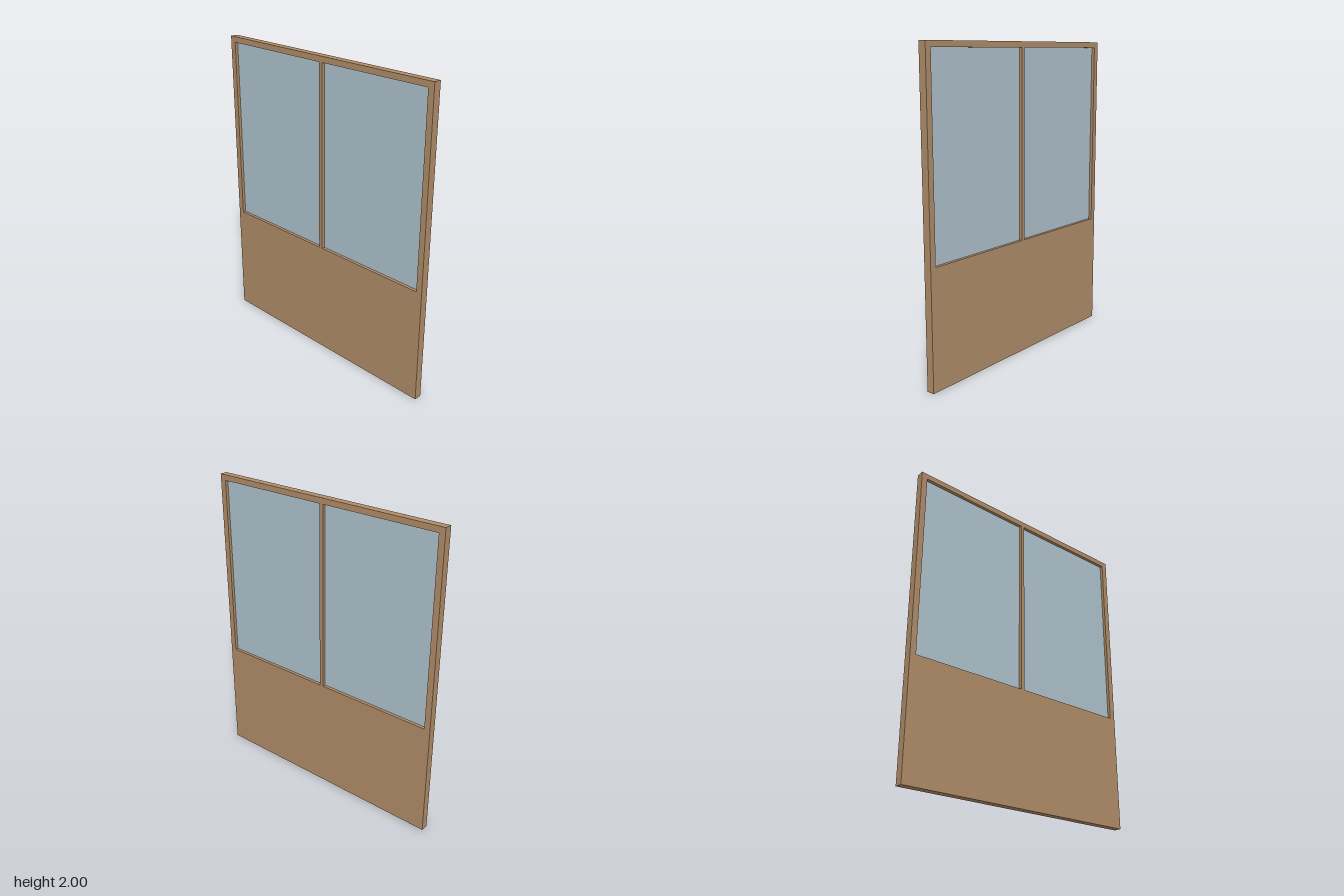
import * as THREE from 'three';

const W = 1.666, H = 2, DEPTH = 0.05;
const PANE = { inner: 0.013, outer: 0.793, bottom: 0.75, top: 1.963 };

function rectangle(target, x0, y0, x1, y1) {
  target.moveTo(x0, y0);
  target.lineTo(x1, y0);
  target.lineTo(x1, y1);
  target.lineTo(x0, y1);
  target.closePath();
  return target;
}

export function createModel() {
  const group = new THREE.Group();
  group.name = 'windowPanel';

  const wood = new THREE.MeshStandardMaterial({ color: 0xb08c68 });
  wood.name = 'wood';
  const glass = new THREE.MeshStandardMaterial({ color: 0xaec2cc });
  glass.name = 'glass';

  // Solid panel and frame, with one opening on each side of the mullion
  const outline = rectangle(new THREE.Shape(), -W / 2, 0, W / 2, H);
  const paneWidth = PANE.outer - PANE.inner;
  const paneHeight = PANE.top - PANE.bottom;

  for (const side of [-1, 1]) {
    const cx = side * (PANE.inner + PANE.outer) / 2;
    outline.holes.push(rectangle(new THREE.Path(),
      cx - paneWidth / 2, PANE.bottom, cx + paneWidth / 2, PANE.top));

    // Glass pane set in the middle of the frame depth
    const pane = new THREE.Mesh(new THREE.BoxGeometry(paneWidth, paneHeight, 0.009), glass);
    pane.name = side > 0 ? 'leftPane' : 'rightPane';
    pane.position.set(cx, (PANE.bottom + PANE.top) / 2, 0);
    group.add(pane);
  }

  const frameGeometry = new THREE.ExtrudeGeometry(outline, { depth: DEPTH, bevelEnabled: false });
  frameGeometry.translate(0, 0, -DEPTH / 2);
  const frame = new THREE.Mesh(frameGeometry, wood);
  frame.name = 'frame';
  group.add(frame);

  return group;
}
